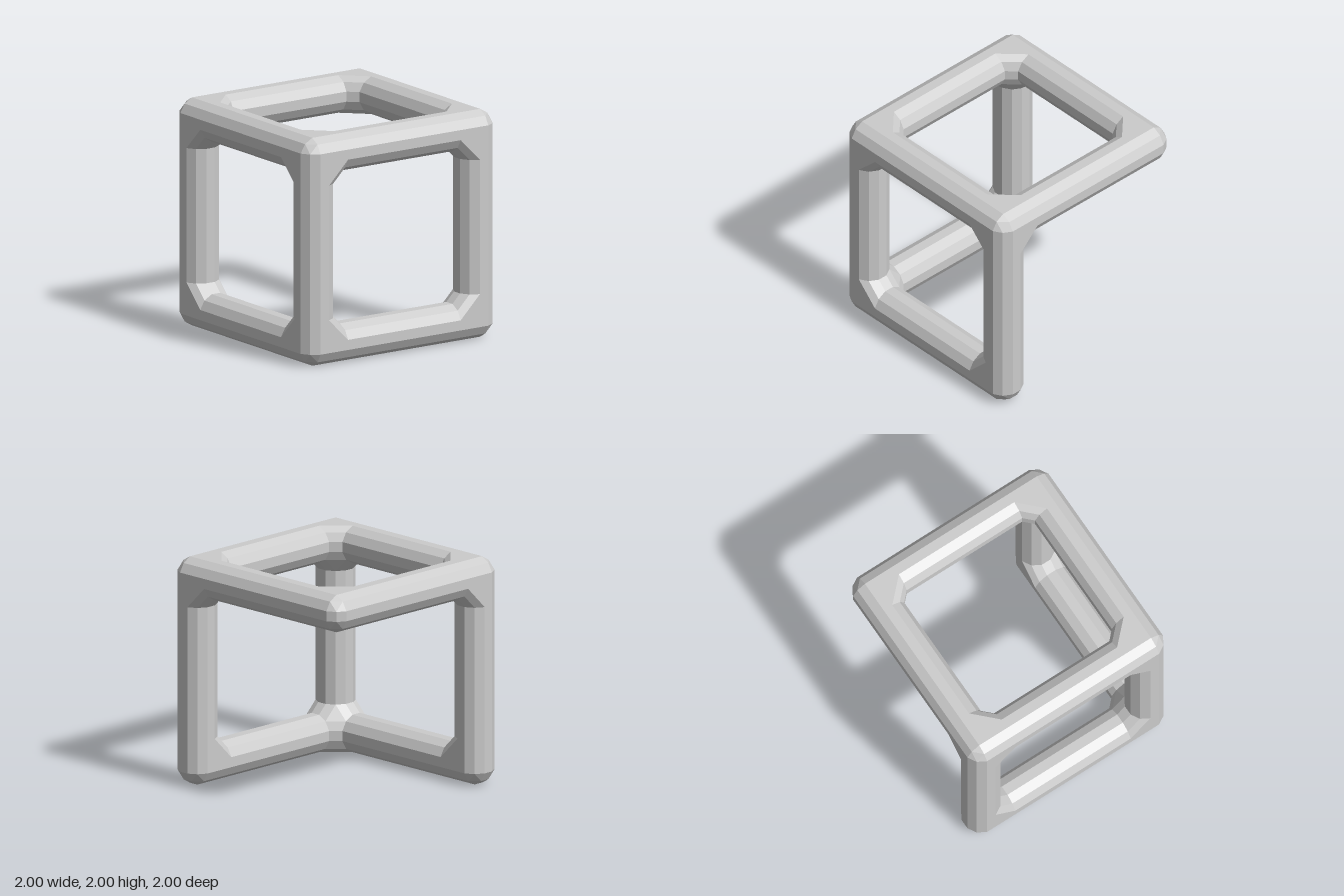
import * as THREE from 'three';
import { ConvexGeometry } from 'three/addons/geometries/ConvexGeometry.js';

const HALF = 0.165;                              // half thickness of a bar
const RADIUS = HALF / Math.cos(Math.PI / 12);    // corner radius of its 12-sided section
const FLAT = HALF * Math.tan(Math.PI / 12);      // half width of one flat
const C = 1 - HALF;                              // bar centre line
const END = 0.59;                                // where a bar meets its joint

export function createModel() {
  const group = new THREE.Group();
  const material = new THREE.MeshStandardMaterial({ color: 0xcccccc, flatShading: true });

  function add(geometry, name) {
    const mesh = new THREE.Mesh(geometry, material);
    mesh.name = name;
    group.add(mesh);
    return mesh;
  }

  // 12-sided ring around one axis, shifted along that axis from the centre
  function ring(centre, axis, shift) {
    const points = [];
    for (let i = 0; i < 12; i++) {
      const a = (i + 0.5) * Math.PI / 6;
      const p = centre.clone();
      p.setComponent(axis, p.getComponent(axis) + shift);
      const u = (axis + 1) % 3, v = (axis + 2) % 3;
      p.setComponent(u, p.getComponent(u) + RADIUS * Math.cos(a));
      p.setComponent(v, p.getComponent(v) + RADIUS * Math.sin(a));
      points.push(p);
    }
    return points;
  }

  // The corner at back left bottom is left out, with the three bars that would reach it
  const exists = (s) => !(s[0] < 0 && s[1] < 0 && s[2] < 0);
  const flip = (s, axis) => s.map((v, i) => (i === axis ? -v : v));
  const signs = [-1, 1];

  for (const x of signs) for (const y of signs) for (const z of signs) {
    const s = [x, y, z];
    if (!exists(s)) continue;
    const centre = new THREE.Vector3(x * C, 1 + y * C, z * C);
    const points = [];

    for (let axis = 0; axis < 3; axis++) {
      // Rounded core of the joint
      points.push(...ring(centre, axis, FLAT), ...ring(centre, axis, -FLAT));
      if (!exists(flip(s, axis))) continue;
      // Mouth towards each bar; the hull between mouths forms the inner fillets
      points.push(...ring(centre, axis, -s[axis] * (C - END)));

      // Each bar is made once, from its positive end
      if (s[axis] < 0) continue;
      const bar = new THREE.CylinderGeometry(RADIUS, RADIUS, END * 2, 12, 1, true);
      bar.rotateY(Math.PI / 12);
      if (axis === 0) bar.rotateZ(Math.PI / 2);
      if (axis === 2) bar.rotateX(Math.PI / 2);
      const mesh = add(bar, ['crossBar', 'uprightBar', 'sideBar'][axis]);
      mesh.position.copy(centre);
      mesh.position.setComponent(axis, axis === 1 ? 1 : 0);
    }
    add(new ConvexGeometry(points), 'cornerJoint');
  }
  return group;
}
